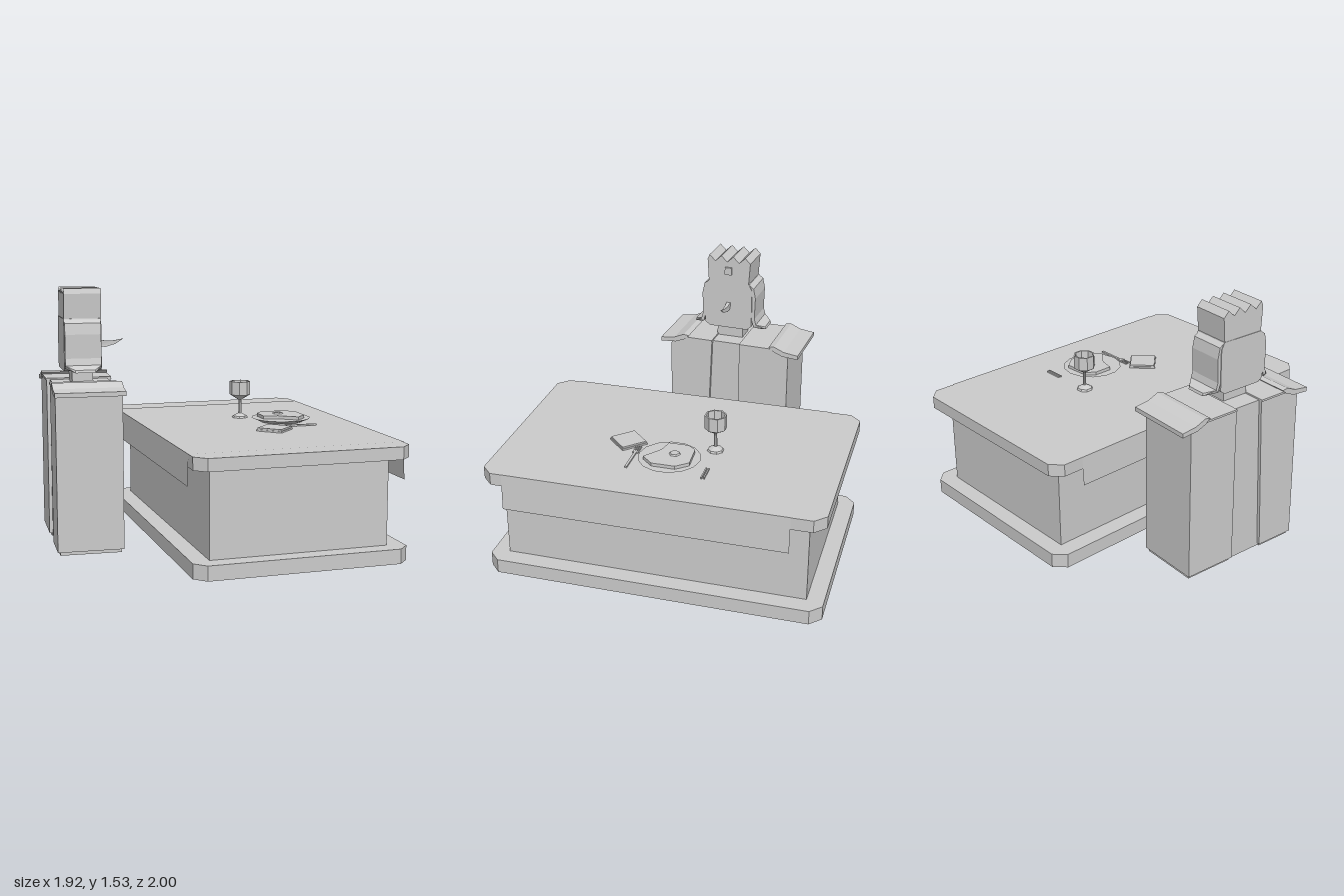
import * as THREE from 'three';

const mat = new THREE.MeshStandardMaterial({ color: 0xcccccc, flatShading: true });
const sheetMat = new THREE.MeshStandardMaterial({ color: 0xcccccc, flatShading: true, side: THREE.DoubleSide });

function add(parent, name, geo, x = 0, y = 0, z = 0, material = mat) {
  const m = new THREE.Mesh(geo, material);
  m.name = name;
  m.position.set(x, y, z);
  parent.add(m);
  return m;
}

const shapeOf = pts => new THREE.Shape(pts.map(p => new THREE.Vector2(p[0], p[1])));

// Extrude a (z, y) outline along x, from x0 to x1
function alongX(pts, x0, x1) {
  const g = new THREE.ExtrudeGeometry(shapeOf(pts), { depth: x1 - x0, bevelEnabled: false });
  return g.rotateY(-Math.PI / 2).translate(x1, 0, 0);
}

// Extrude an (x, z) outline upwards by h
function upright(pts, h) {
  const g = new THREE.ExtrudeGeometry(shapeOf(pts.map(([x, z]) => [x, -z])), { depth: h, bevelEnabled: false });
  return g.rotateX(-Math.PI / 2);
}

function cutSlab(x0, x1, z0, z1, c, h) {
  return upright([[x0 + c, z0], [x1 - c, z0], [x1, z0 + c], [x1, z1 - c],
    [x1 - c, z1], [x0 + c, z1], [x0, z1 - c], [x0, z0 + c]], h);
}

function makeTable() {
  const t = new THREE.Group();
  t.name = 'table';
  add(t, 'tableBase', cutSlab(-0.335, 0.943, -1, 1, 0.065, 0.087));
  add(t, 'tableBody', new THREE.BoxGeometry(1.066, 0.52, 1.8), 0.303, 0.345, 0);
  add(t, 'tableTop', cutSlab(-0.335, 0.943, -1, 1, 0.065, 0.074), 0, 0.602);

  // Cloth: a thin sheet across the top, hanging on both long sides
  const path = [[-0.345, 0.5], [-0.338, 0.678], [0.945, 0.678], [0.955, 0.457]];
  const cloth = new THREE.PlaneGeometry(1, 1, 3, 1);
  const p = cloth.attributes.position;
  for (let i = 0; i < p.count; i++) {
    const [x, y] = path[i % 4];
    p.setXYZ(i, x, y, i < 4 ? -0.81 : 0.865);
  }
  cloth.computeVertexNormals();
  add(t, 'tablecloth', cloth, 0, 0, 0, sheetMat);
  return t;
}

function makeSetting() {
  const s = new THREE.Group();
  s.name = 'placeSetting';
  const y = 0.678;

  // Plate with a slab of food
  add(s, 'plate', new THREE.CylinderGeometry(0.185, 0.13, 0.024, 14), 0.53, y + 0.014, -0.01);
  add(s, 'food', upright([[0.44, -0.14], [0.6, -0.15], [0.66, -0.08], [0.66, 0.06],
    [0.595, 0.13], [0.49, 0.05], [0.4, 0.03], [0.4, -0.09]], 0.022), 0, y + 0.024);
  add(s, 'foodTopping', new THREE.CylinderGeometry(0.028, 0.035, 0.008, 6), 0.52, y + 0.05, -0.04);

  // Goblet: faceted bowl, thin stem and low foot
  const goblet = [[0, 0], [0.05, 0], [0.045, 0.012], [0.01, 0.03], [0.009, 0.115], [0.066, 0.15],
    [0.066, 0.235], [0.056, 0.235], [0.05, 0.155], [0, 0.145]];
  const g = new THREE.LatheGeometry(goblet.map(q => new THREE.Vector2(...q)), 8, Math.PI / 8);
  add(s, 'goblet', g, 0.335, y, -0.235, sheetMat);

  // Folded napkin, turned to a diamond
  const n = new THREE.Group();
  n.name = 'napkin';
  n.position.set(0.375, y, 0.29);
  n.rotation.y = Math.PI / 4;
  for (const [i, w] of [[0, 0.165], [1, 0.155]])
    add(n, 'napkinFold', new THREE.BoxGeometry(w, 0.01, w), 0, 0.006 + i * 0.01, 0);
  s.add(n);

  // Cutlery: a fork on one side, knife pieces on the other
  add(s, 'forkHandle', new THREE.BoxGeometry(0.18, 0.01, 0.014), 0.59, y + 0.008, 0.207);
  add(s, 'forkNeck', new THREE.BoxGeometry(0.02, 0.01, 0.036), 0.494, y + 0.008, 0.207);
  for (const dz of [-0.014, 0, 0.014])
    add(s, 'forkProng', new THREE.BoxGeometry(0.06, 0.008, 0.006), 0.458, y + 0.008, 0.207 + dz);
  for (const z of [-0.257, -0.242])
    add(s, 'knife', new THREE.BoxGeometry(0.115, 0.01, 0.008), 0.625, y + 0.007, z);
  return s;
}

function makeFigure() {
  const f = new THREE.Group();
  f.name = 'figure';
  f.position.set(-0.73, 0, -0.105);
  f.rotation.y = -0.07;

  // Robe: recessed centre panel between two wide halves, cut in at the hem
  add(f, 'robeCentre', new THREE.BoxGeometry(0.35, 0.97, 0.3), 0, 0.49, 0.035);
  const robeHalf = (a, b, c) => [[a, 0.02], [b, 0.02], [b, 0.93], [b - Math.sign(b) * 0.03, 0.975], [c, 0.975]];
  for (const [inTop, inLow, out] of [[0.115, 0.15, 0.395], [-0.07, -0.07, -0.395]]) {
    add(f, 'robeHalf', alongX(robeHalf(inLow, out, inTop), -0.195, 0.195));
    add(f, 'robeHem', new THREE.BoxGeometry(0.36, 0.03, Math.abs(out - inLow) - 0.02),
      0, 0.015, (out + inLow) / 2);
  }

  // Shoulder boards, mirrored, dipping to the outside
  for (const s of [1, -1]) {
    const pad = [[0.3, 0.97], [0.36, 0.945], [0.462, 0.937], [0.462, 0.963], [0.37, 0.975], [0.305, 1.003], [0.27, 0.997]];
    add(f, 'shoulderBoard', alongX(pad.map(([z, y]) => [s * z, y]), -0.205, 0.205));
    const inner = s > 0 ? 0.115 : 0.07;
    add(f, 'shoulderTop', new THREE.BoxGeometry(0.4, 0.012, 0.31 - inner), 0, 0.978, s * (0.31 + inner) / 2);
  }

  // Neck and head
  const h = new THREE.Group();
  h.name = 'head';
  h.position.z = 0.035;
  f.add(h);
  add(h, 'neck', new THREE.BoxGeometry(0.125, 0.1, 0.17), 0, 1.02, 0);
  add(h, 'face', alongX([[-0.125, 1.052], [0.125, 1.052], [0.155, 1.075], [0.155, 1.32],
    [0.135, 1.36], [-0.135, 1.36], [-0.155, 1.32], [-0.155, 1.075]], -0.115, 0.105));

  // Zigzag crown
  const crown = [[-0.132, 1.35], [-0.142, 1.5]];
  for (let i = 0; i < 4; i++) {
    const z = -0.108 + i * 0.079;
    crown.push([z, 1.535], [z + 0.04, i < 3 ? 1.497 : 1.505]);
  }
  crown[crown.length - 1][0] = 0.142;
  crown.push([0.132, 1.35]);
  add(h, 'crown', alongX(crown.reverse(), -0.112, 0.108));
  add(h, 'crownGem', new THREE.BoxGeometry(0.02, 0.048, 0.045), 0.112, 1.44, 0);

  // Side locks flaring out and narrowing to the tip
  for (const s of [1, -1]) {
    const lock = [[0.13, 1.36], [0.165, 1.335], [0.178, 1.27], [0.174, 1.13], [0.185, 1.09], [0.235, 1.068],
      [0.24, 1.052], [0.205, 1.05], [0.17, 1.072], [0.156, 1.12], [0.156, 1.3], [0.13, 1.335]];
    const g = alongX(lock.map(([z, y]) => [s * z, y]), -0.112, 0.1);
    const p = g.attributes.position;
    for (let i = 0; i < p.count; i++)
      if (Math.abs(p.getZ(i)) > 0.2) p.setX(i, p.getX(i) * 0.55);
    g.computeVertexNormals();
    add(h, 'sideLock', g);
  }

  // Long nose curving up to a point
  const nose = new THREE.ExtrudeGeometry(shapeOf([[0.09, 1.185], [0.15, 1.178], [0.21, 1.195],
    [0.262, 1.227], [0.2, 1.215], [0.15, 1.215], [0.09, 1.228]]), { depth: 0.026, bevelEnabled: false });
  const np = nose.attributes.position;
  for (let i = 0; i < np.count; i++) {
    const taper = THREE.MathUtils.clamp((0.262 - np.getX(i)) / 0.14, 0.05, 1);
    np.setZ(i, (np.getZ(i) - 0.013) * taper);
  }
  nose.computeVertexNormals();
  add(h, 'nose', nose);
  return f;
}

export function createModel() {
  const model = new THREE.Group();
  model.name = 'figureAtTable';
  model.add(makeTable(), makeSetting(), makeFigure());
  return model;
}
